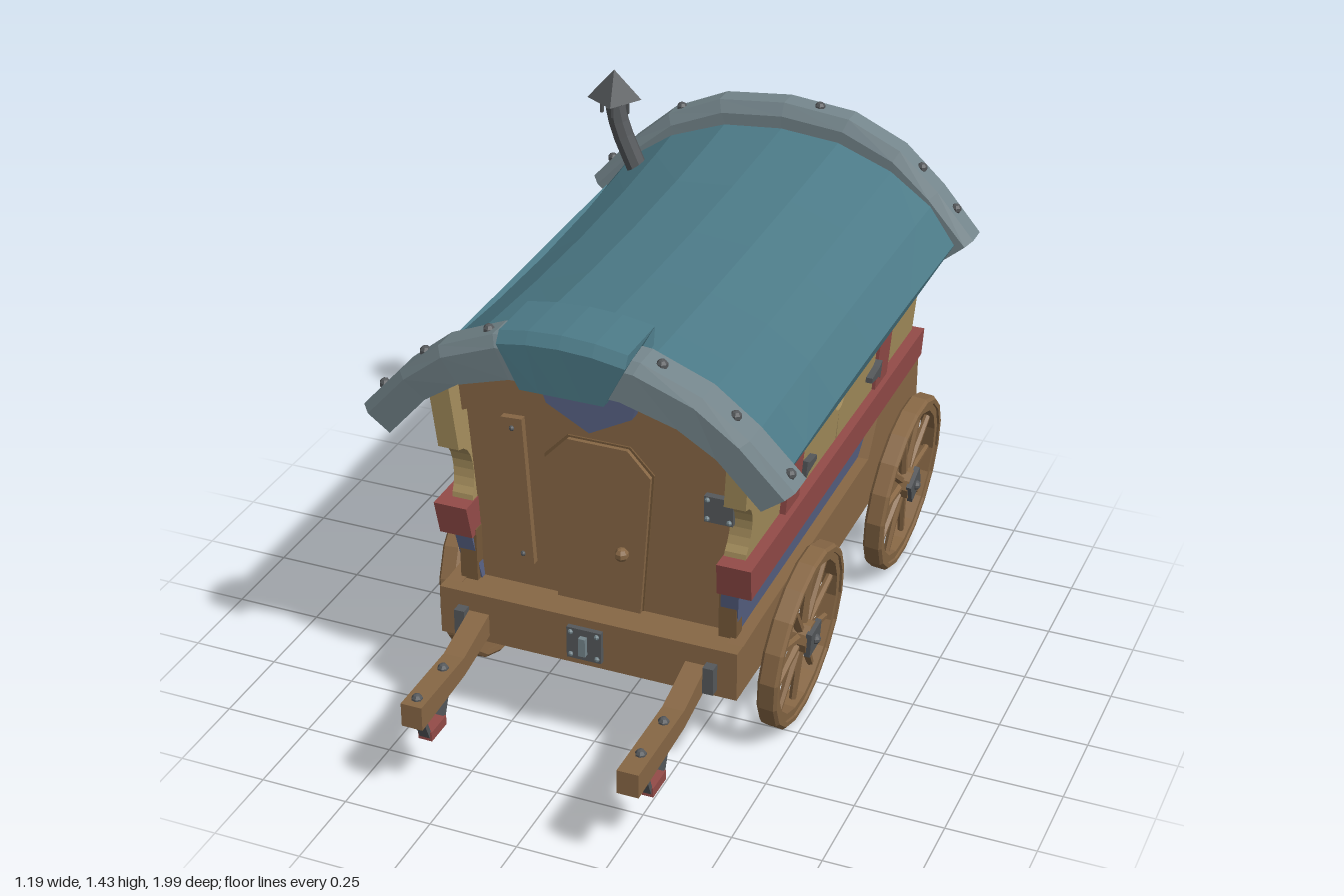
import * as THREE from 'three';

const mat = (color, side = THREE.FrontSide) => new THREE.MeshStandardMaterial({ color, flatShading: true, side });
const TEAL = mat(0x4c7a87), GREY = mat(0x74858b), BROWN = mat(0x876745), TAN = mat(0xa48d5c),
  RED = mat(0x934b48), BLUE = mat(0x586284), DARK = mat(0x55585b), WOOD = mat(0x755839);

export function createModel() {
  const root = new THREE.Group();
  const add = (name, geo, material, parent = root) => {
    const m = new THREE.Mesh(geo, material);
    m.name = name;
    parent.add(m);
    return m;
  };
  const box = (name, w, h, d, x, y, z, material, parent) => {
    const m = add(name, new THREE.BoxGeometry(w, h, d), material, parent);
    m.position.set(x, y, z);
    return m;
  };
  const stud = (name, r, x, y, z, material = DARK, parent = root) =>
    add(name, new THREE.SphereGeometry(r, 7, 5), material, parent).position.set(x, y, z);
  const shapeOf = pts => new THREE.Shape(pts.map(p => new THREE.Vector2(...p)));
  // Plate drawn in (x, y), from z to z + t
  const frontPlate = (name, shape, z, t, material) => {
    const m = add(name, new THREE.ExtrudeGeometry(shape, { depth: t, bevelEnabled: false, curveSegments: 8 }), material);
    m.position.z = z;
    return m;
  };
  // Plate drawn in (z, y), x0 to x0 + t out from the middle, leaning outwards with height
  const sidePlate = (name, shape, side, x0, t, material, lean = 0) => {
    const g = new THREE.ExtrudeGeometry(shape, { depth: t, bevelEnabled: false, curveSegments: 8 });
    g.rotateY(-Math.PI / 2).translate(side > 0 ? x0 + t : -x0, 0, 0);
    const p = g.attributes.position;
    for (let i = 0; i < p.count; i++) p.setX(i, p.getX(i) + side * lean * (p.getY(i) - 0.68));
    return add(name, g, material);
  };
  // Skin over rings of points placed from left to right, with end caps
  const loft = rings => {
    const n = rings[0].length, idx = [];
    for (let i = 0; i < rings.length - 1; i++) for (let j = 0; j < n; j++) {
      const a = i * n + j, b = i * n + (j + 1) % n;
      idx.push(a, b, b + n, a, b + n, a + n);
    }
    const e = (rings.length - 1) * n;
    for (let j = 1; j < n - 1; j++) idx.push(0, j + 1, j, e, e + j, e + j + 1);
    const g = new THREE.BufferGeometry();
    g.setAttribute('position', new THREE.Float32BufferAttribute(rings.flat(2), 3));
    g.setIndex(idx);
    g.computeVertexNormals();
    return g;
  };
  const mirrorArc = half => [...half.slice(1).reverse().map(([x, y]) => [-x, y]), ...half];

  // Roof canopy, sagging in the middle and flaring towards both ends
  const skin = mirrorArc([[0, 1.24], [0.17, 1.225], [0.33, 1.165], [0.45, 1.08], [0.525, 0.975]]);
  const lining = mirrorArc([[0, 1.19], [0.15, 1.175], [0.3, 1.12], [0.41, 1.04], [0.48, 0.96]]);
  const stations = [-0.9, -0.75, -0.5, -0.2, 0.1, 0.35, 0.56];
  const flare = ([x, y], z) => {
    const s = ((z + 0.15) / 0.72) ** 2;
    return [x * (1 + 0.04 * s), y + 0.02 * s - 0.012 * z, z];
  };
  add('roof', loft(skin.map((p, i) => [...stations.map(z => flare(p, z)),
    ...[...stations].reverse().map(z => flare(lining[i], z))])), TEAL);

  // Chamfered arches closing the roof at both ends, with studs
  const arches = [
    { name: 'frontArch', z0: 0.54, z1: 0.66, bow: -0.04, studs: [-0.55, -0.42, -0.23, 0.24, 0.43, 0.57],
      outer: [[0, 1.31], [0.2, 1.29], [0.36, 1.22], [0.48, 1.12], [0.597, 0.99]],
      inner: [[0, 1.19], [0.15, 1.18], [0.3, 1.13], [0.4, 1.06], [0.515, 0.93]] },
    { name: 'backArch', z0: -0.99, z1: -0.885, bow: 0.023, studs: [-0.55, -0.49, -0.33, 0.1, 0.42, 0.53],
      outer: [[0, 1.345], [0.2, 1.325], [0.36, 1.255], [0.48, 1.15], [0.597, 1.02]],
      inner: [[0, 1.2], [0.15, 1.19], [0.3, 1.14], [0.4, 1.07], [0.52, 0.955]] }];
  for (const { name, z0, z1, bow, studs, ...arcs } of arches) {
    const outer = mirrorArc(arcs.outer), inner = mirrorArc(arcs.inner);
    add(name, loft(outer.map(([x, y], i) => {
      const [u, v] = inner[i], b = bow * (x / 0.6) ** 2;
      const cx = x + (u - x) * 0.25, cy = y + (v - y) * 0.25;
      return [[cx, cy, z0 + b], [x, y, z0 + b + 0.02], [x, y, z1 + b - 0.02],
        [cx, cy, z1 + b], [u, v, z1 + b], [u, v, z0 + b]];
    })), GREY);
    for (const x of studs) {
      const k = outer.findIndex(p => p[0] > x), [a, b] = [outer[k - 1], outer[k]];
      const y = a[1] + (b[1] - a[1]) * (x - a[0]) / (b[0] - a[0]);
      stud('archStud', 0.016, x, y, (z0 + z1) / 2 + bow * (x / 0.6) ** 2);
    }
  }
  // Cloth flap over the front arch
  add('frontFlap', loft([-0.17, -0.09, 0, 0.09, 0.178].map(x => {
    const y = 1.337 - 0.6 * x * x;
    return [[x, y, 0.49], [x, y, 0.66], [x, y - 0.03, 0.68], [x * 0.66, 1.17, 0.675], [x * 0.66, 1.17, 0.63], [x, y - 0.05, 0.5]];
  })), TEAL);

  // End walls
  const wall = [[-0.38, 0.42], [0.38, 0.42], [0.4, 1.05], [0.3, 1.14], [0.15, 1.2], [-0.15, 1.2], [-0.3, 1.14], [-0.4, 1.05]];
  frontPlate('frontWall', shapeOf(wall), 0.41, 0.03, BROWN);
  frontPlate('backWall', shapeOf(wall), -0.87, 0.03, BROWN);
  const lintel = [[-0.38, 0.95], [-0.27, 1.0], [-0.14, 1.035], [0.14, 1.035], [0.27, 1.0], [0.38, 0.95],
    [0.39, 1.06], [0.3, 1.14], [0.15, 1.2], [-0.15, 1.2], [-0.3, 1.14], [-0.39, 1.06]];
  frontPlate('frontLintel', shapeOf(lintel), 0.44, 0.03, BROWN);
  frontPlate('backLintel', shapeOf(lintel), -0.9, 0.03, BROWN);
  frontPlate('crest', shapeOf([[-0.15, 1.13], [-0.12, 1.045], [0, 0.98], [0.12, 1.045], [0.145, 1.13]]), 0.47, 0.035, BLUE);
  // Door with a dark frame line
  const door = [[-0.12, 0.43], [0.12, 0.43], [0.15, 0.85], [0.085, 0.92], [-0.085, 0.92], [-0.15, 0.85]];
  frontPlate('doorFrame', shapeOf(door.map(([x, y]) => [x * 1.04, y * 1.006])), 0.44, 0.005, WOOD);
  frontPlate('door', shapeOf(door), 0.44, 0.017, BROWN);
  stud('doorKnob', 0.02, 0.075, 0.615, 0.475, BROWN);
  box('wallPlank', 0.06, 0.44, 0.02, -0.23, 0.73, 0.45, BROWN).rotation.z = 0.06;
  for (const y of [0.54, 0.92]) stud('plankNail', 0.008, -0.23 - (y - 0.73) * 0.06, y, 0.46);
  // Boarded-up back window
  box('backWindow', 0.3, 0.2, 0.01, -0.05, 0.84, -0.873, WOOD);
  frontPlate('windowHood', shapeOf([[-0.18, 0.92], [0.08, 0.92], [0.01, 0.965], [-0.12, 0.965]]), -0.885, 0.015, RED);
  [[0.75, 0.03], [0.87, -0.05]].forEach(([y, a]) => {
    box('windowBoard', 0.42, 0.095, 0.02, -0.05, y, -0.885, BROWN).rotation.z = a;
    for (const s of [-1, 1]) stud('boardNail', 0.009, -0.05 + s * 0.18, y + s * 0.18 * a, -0.897);
  });

  for (const s of [-1, 1]) {
    // Side wall with scalloped front edge and a round peephole
    const panel = new THREE.Shape();
    panel.moveTo(-0.9, 0.66).lineTo(0.47, 0.66).lineTo(0.465, 0.69)
      .bezierCurveTo(0.43, 0.73, 0.43, 0.84, 0.51, 0.85)
      .lineTo(0.525, 1.04).lineTo(-0.92, 1.04).lineTo(-0.9, 0.66);
    panel.holes.push(new THREE.Path().absarc(-0.195, 0.825, 0.04, 0, Math.PI * 2, true));
    sidePlate('sideWall', panel, s, 0.36, 0.06, TAN, 0.08);
    // Pair of shutters meeting at the peephole
    for (const d of [-1, 1]) {
      const c = -0.195, sh = new THREE.Shape();
      sh.moveTo(c + d * 0.004, 0.69).lineTo(c + d * 0.305, 0.69).lineTo(c + d * 0.305, 0.96).lineTo(c + d * 0.004, 0.96)
        .lineTo(c + d * 0.004, 0.865).absarc(c, 0.825, 0.04, Math.PI / 2, -Math.PI / 2, d > 0);
      sidePlate('shutter', sh, s, 0.42, 0.01, TAN, 0.08);
      for (const y of [0.76, 0.905]) {
        const e = c + d * 0.31;
        sidePlate('shutterHinge', shapeOf([[e, y - 0.028], [e - d * 0.02, y - 0.016], [e - d * 0.08, y - 0.008],
          [e - d * 0.08, y + 0.008], [e - d * 0.02, y + 0.016], [e, y + 0.028]]), s, 0.42, 0.03, DARK, 0.08);
      }
    }
    for (const z of [0.165, -0.565])
      sidePlate('wallPost', shapeOf([[z - 0.05, 0.66], [z + 0.055, 0.66], [z + 0.055, 1.02], [z - 0.055, 1.02]]), s, 0.4, 0.037, RED, 0.08);
    // Waist rail, skirt and frame board
    sidePlate('waistRail', shapeOf([[-0.915, 0.605], [0.495, 0.575], [0.515, 0.675], [-0.92, 0.69]]), s, 0.357, 0.096, RED, 0.05);
    sidePlate('skirt', shapeOf([[-0.9, 0.42], [0.455, 0.42], [0.49, 0.6], [-0.91, 0.63]]), s, 0.37, 0.05, BLUE, 0.1);
    box('cornerPost', 0.05, 0.18, 0.04, s * 0.375, 0.5, 0.455, WOOD);
    sidePlate('frameBoard', shapeOf([[-0.93, 0.31], [0, 0.29], [0.54, 0.29], [0.545, 0.43], [0.35, 0.44],
      [-0.5, 0.46], [-0.58, 0.57], [-0.95, 0.57]]), s, 0.385, 0.045, BROWN);

    // Draw shaft with bracket, bolts and hanging loop
    const L = s > 0 ? 1 : 0.95, x = s * 0.315;
    sidePlate('shaft', shapeOf([[0.5, 0.32], [0.7, 0.28], [L, 0.265], [L, 0.335], [0.7, 0.335], [0.5, 0.39]]), s, 0.285, 0.06, BROWN);
    box('shaftBracket', 0.03, 0.08, 0.05, s * 0.36, 0.35, 0.55, DARK);
    for (const z of [0.765, 0.915]) stud('shaftBolt', 0.016, x, 0.335, z);
    for (const d of [-1, 1])
      box('loopStrap', 0.03, 0.085, 0.014, x, 0.235, 0.84 + d * 0.055, DARK).rotation.x = d * 0.4;
    box('loopBar', 0.04, 0.028, 0.085, x, 0.197, 0.84, RED);

    // Spoked wheels, leaning outwards at the top
    for (const [z, r, turn] of [[0.16, 0.265, 0], [-0.72, 0.27, Math.PI / 2]]) {
      const wheel = new THREE.Group();
      wheel.name = 'wheel';
      wheel.position.set(s * 0.47, r + 0.006, z);
      wheel.rotation.z = -s * 0.09;
      root.add(wheel);
      const ring = (ri, ro, h, c) => new THREE.LatheGeometry([[ri, -h], [ro - c, -h], [ro, c - h], [ro, h - c], [ro - c, h], [ri, h], [ri, -h]]
        .map(p => new THREE.Vector2(...p)), 18).rotateZ(Math.PI / 2);
      add('rim', ring(r - 0.045, r - 0.012, 0.022, 0.002), BROWN, wheel);
      add('tyre', ring(r - 0.022, r, 0.029, 0.008), BROWN, wheel);
      add('hub', new THREE.CylinderGeometry(0.048, 0.048, 0.06, 10).rotateZ(Math.PI / 2), BROWN, wheel);
      box('hubPlate', 0.016, 0.078, 0.078, s * 0.034, 0, 0, DARK, wheel).rotation.x = z > 0 ? 0.08 : 0.5;
      stud('hubBolt', 0.015, s * 0.042, 0, 0, DARK, wheel);
      for (let i = 0; i < 10; i++) {
        const g = new THREE.CylinderGeometry(0.01, 0.014, 0.195, 6).translate(0, 0.135, 0);
        add('spoke', g, BROWN, wheel).rotation.x = i * Math.PI / 5 + turn;
      }
    }
  }

  // Frame: floor, front board, notched tailboard
  box('floor', 0.8, 0.04, 1.42, 0, 0.335, -0.2, WOOD);
  box('frontBoard', 0.86, 0.145, 0.04, 0, 0.362, 0.525, BROWN);
  box('frontSill', 0.78, 0.03, 0.12, 0, 0.415, 0.46, BROWN);
  frontPlate('tailboard', shapeOf([[-0.43, 0.31], [0.43, 0.31], [0.43, 0.57], [0.36, 0.57], [0.3, 0.5],
    [-0.3, 0.5], [-0.36, 0.57], [-0.43, 0.57]]), -0.95, 0.04, BROWN);
  box('backSill', 0.78, 0.04, 0.08, 0, 0.46, -0.89, BROWN);
  // Bolted plates on the front board and front wall
  for (const [name, w, x, y, z] of [['lockPlate', 0.1, 0, 0.362, 0.55], ['wallPlate', 0.08, 0.34, 0.8, 0.45]]) {
    box(name, w, w * 0.95, 0.02, x, y, z, DARK);
    for (const a of [-0.38, 0.38]) for (const b of [-0.35, 0.35]) stud('plateBolt', 0.008, x + a * w, y + b * w, z + 0.01, GREY);
  }
  box('lockLatch', 0.02, 0.055, 0.02, 0, 0.362, 0.565, GREY);

  // Axles with collars and bowed springs
  for (const z of [0.16, -0.72]) {
    const bar = (name, r, len, x, y) =>
      add(name, new THREE.CylinderGeometry(r, r, len, 8).rotateZ(Math.PI / 2), DARK).position.set(x, y, z);
    bar('axle', 0.024, 0.88, 0, 0.257);
    for (const s of [-1, 1]) bar('axleCollar', 0.036, 0.06, s * 0.285, 0.25);
    for (const [dz, sag] of [[-0.04, 0.21], [0, 0.19], [0.04, 0.21]]) {
      const curve = new THREE.CatmullRomCurve3([[-0.25, 0.25, 0], [-0.12, sag + 0.012, dz], [0, sag, dz * 1.2],
        [0.12, sag + 0.012, dz], [0.25, 0.25, 0]].map(p => new THREE.Vector3(p[0], p[1], z + p[2])));
      add('spring', new THREE.TubeGeometry(curve, 14, 0.008, 6), DARK);
    }
  }

  // Crooked chimney with pyramid cap on splayed stays
  const flue = new THREE.CatmullRomCurve3([[-0.38, 1.1], [-0.425, 1.2], [-0.45, 1.26], [-0.465, 1.325]].map(([x, y]) => new THREE.Vector3(x, y, -0.745)));
  add('chimneyPipe', new THREE.TubeGeometry(flue, 5, 0.031, 8), mat(0x55585b, THREE.DoubleSide));
  add('chimneyCap', new THREE.ConeGeometry(0.08, 0.09, 4).rotateY(0.25), DARK).position.set(-0.468, 1.39, -0.745);
  for (let i = 0; i < 4; i++) {
    const a = i * Math.PI / 2 + 0.25;
    box('capStay', 0.008, 0.06, 0.008, -0.467 + 0.038 * Math.sin(a), 1.33, -0.745 + 0.038 * Math.cos(a), DARK);
  }
  return root;
}
